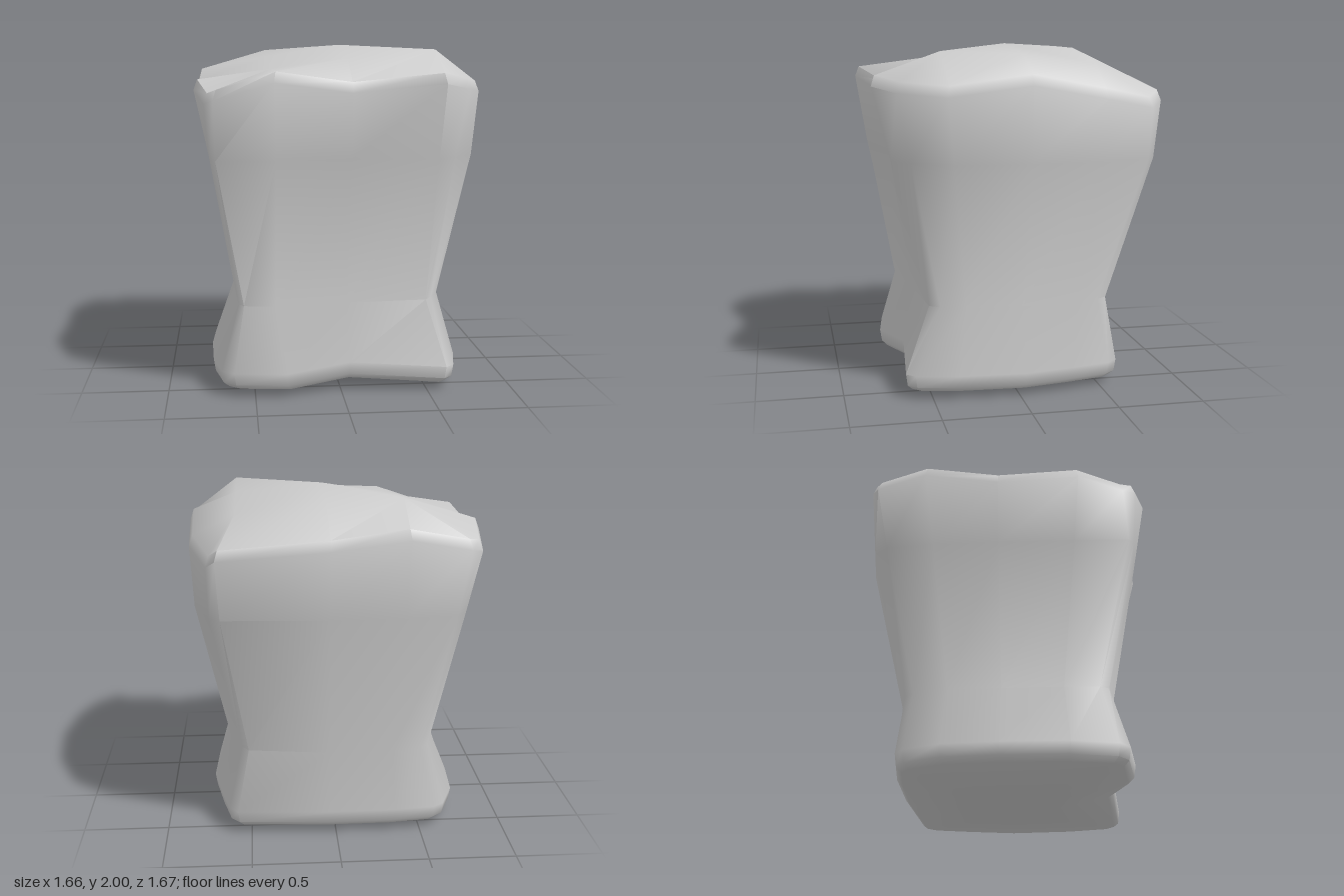
import * as THREE from 'three';
import { toCreasedNormals } from 'three/addons/utils/BufferGeometryUtils.js';

const { clamp } = THREE.MathUtils;

// Plan outlines [x, z], from front left round to the right, back and left
const TOP = [
  [-0.72, 0.76], [-0.39, 0.83], [0.05, 0.73], [0.56, 0.815], [0.71, 0.69], [0.82, 0.43],
  [0.83, -0.04], [0.82, -0.47], [0.72, -0.76], [0.67, -0.82], [0.05, -0.84], [-0.39, -0.83],
  [-0.73, -0.79], [-0.79, -0.75], [-0.82, -0.47], [-0.83, -0.04], [-0.83, 0.43], [-0.77, 0.69],
];
const SHOULDER = [
  [-0.71, 0.74], [-0.38, 0.755], [0.05, 0.665], [0.54, 0.71], [0.65, 0.61], [0.79, 0.39],
  [0.815, -0.04], [0.8, -0.45], [0.71, -0.74], [0.65, -0.79], [0.05, -0.825], [-0.37, -0.815],
  [-0.66, -0.77], [-0.72, -0.69], [-0.745, -0.42], [-0.755, -0.04], [-0.75, 0.4], [-0.74, 0.71],
];
const WAIST = [
  [-0.56, 0.57], [-0.38, 0.6], [0.04, 0.54], [0.51, 0.5], [0.55, 0.44], [0.61, 0.3],
  [0.62, -0.03], [0.61, -0.37], [0.55, -0.5], [0.51, -0.56], [0.04, -0.63], [-0.33, -0.62],
  [-0.5, -0.58], [-0.55, -0.53], [-0.6, -0.33], [-0.6, -0.03], [-0.6, 0.32], [-0.59, 0.52],
];
const FOOT = [
  [-0.62, 0.67], [-0.32, 0.71], [0.05, 0.6], [0.61, 0.65], [0.66, 0.6], [0.71, 0.35],
  [0.73, -0.03], [0.68, -0.32], [0.63, -0.55], [0.58, -0.61], [0.04, -0.645], [-0.35, -0.64],
  [-0.59, -0.61], [-0.65, -0.56], [-0.73, -0.35], [-0.75, -0.03], [-0.74, 0.35], [-0.69, 0.61],
];

// Height of the top edge at each outline point
const RIM = [
  1.74, 1.84, 1.78, 1.83, 1.8, 1.78, 1.84, 1.76, 1.7,
  1.74, 1.79, 1.845, 1.78, 1.77, 1.84, 1.77, 1.79, 1.72,
];

// Knots of the bumpy plateau inside the rim, rows running from back to front
const XS = [-0.39, 0.05, 0.56];
const ZS = [-0.47, -0.04, 0.43];
const HEIGHTS = [
  [1.97, 1.97, 1.89],
  [1.93, 2.0, 1.95],
  [1.86, 1.92, 1.97],
];
const nearest = (knots, v) => knots.indexOf(
  knots.reduce((best, k) => (Math.abs(k - v) < Math.abs(best - v) ? k : best)));
const plateauHeight = (x, z) => HEIGHTS[nearest(ZS, z)][nearest(XS, x)];

// Skin a list of closed rings of [x, y, z] points; the first and last are single points
function loft(rings) {
  const n = rings[0].length;
  const index = [];
  for (let r = 0; r < rings.length - 1; r++) {
    for (let i = 0; i < n; i++) {
      const a = r * n + i, b = r * n + (i + 1) % n;
      if (r > 0) index.push(a, b, b + n);
      if (r < rings.length - 2) index.push(a, b + n, a + n);
    }
  }
  const geometry = new THREE.BufferGeometry();
  geometry.setAttribute('position', new THREE.Float32BufferAttribute(rings.flat(2), 3));
  geometry.setIndex(index);
  return toCreasedNormals(geometry, 0.9);
}

export function createModel() {
  const group = new THREE.Group();
  group.name = 'waistedBlock';
  const ring = (outline, scale, y) =>
    outline.map(([x, z], i) => [x * scale, y(x, z, i), z * scale]);
  const footEdge = (x, z, i) => (i === 2 ? 0.1 : 0.07);

  // The plateau outline is the rim pulled in to the outer knots
  const plateau = TOP.map(([x, z]) => [clamp(x, XS[0], XS[2]), clamp(z, ZS[0], ZS[2])]);
  const peak = TOP.map(() => [XS[1], ZS[1]]);

  const rings = [
    // underside
    ring(FOOT, 0, () => 0.01),
    ring(FOOT, 0.45, (x) => (x > 0 ? 0 : 0.012)),
    ring(FOOT, 0.94, (x, z, i) => footEdge(x, z, i) - 0.03),
    // flared foot
    ring(FOOT, 0.985, footEdge),
    ring(FOOT, 1, (x, z, i) => footEdge(x, z, i) + 0.07),
    // waist and widening body
    ring(WAIST, 1, () => 0.51),
    ring(SHOULDER, 1, () => 1.36),
    ring(TOP, 1, (x, z, i) => RIM[i] - 0.05),
    // softened rim and uneven top
    ring(TOP, 0.975, (x, z, i) => RIM[i] + 0.01),
    ring(plateau, 1, plateauHeight),
    ring(peak, 1, plateauHeight),
  ];

  const body = new THREE.Mesh(
    loft(rings), new THREE.MeshStandardMaterial({ color: 0xcccccc }));
  body.name = 'body';
  group.add(body);
  return group;
}
